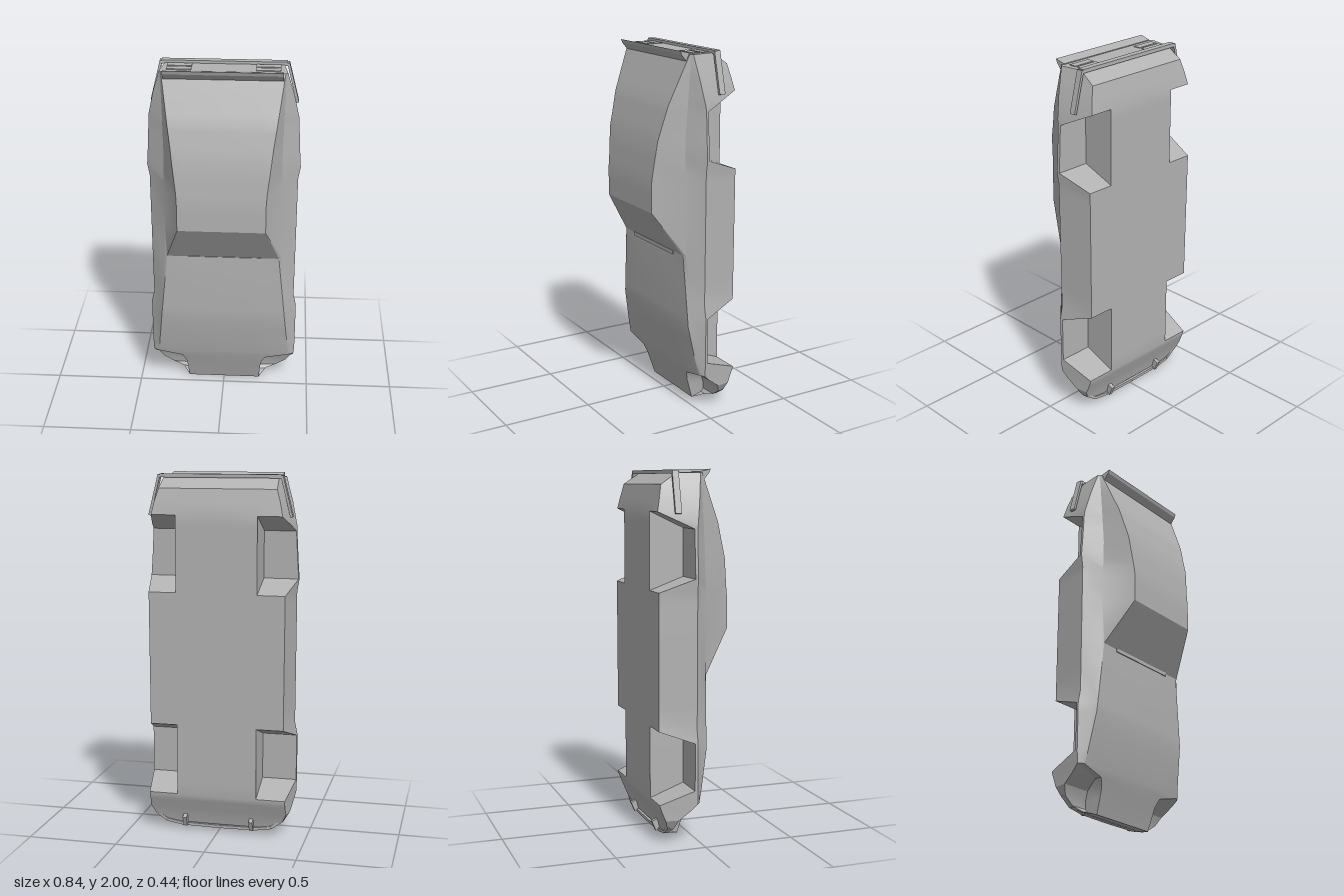
import * as THREE from 'three';
import { toCreasedNormals } from 'three/addons/utils/BufferGeometryUtils.js';

// Linear interpolation through [y, value] pairs
function track(...pairs) {
  return (y) => {
    if (y <= pairs[0][0]) return pairs[0][1];
    for (let i = 1; i < pairs.length; i++) {
      const [y0, a] = pairs[i - 1], [y1, b] = pairs[i];
      if (y <= y1) return a + ((b - a) * (y - y0)) / (y1 - y0);
    }
    return pairs[pairs.length - 1][1];
  };
}

// Car stands on its nose: y runs nose to tail, z runs floor to roof
const floorZ = track([0, -0.065], [0.02, -0.14], [0.04, -0.16], [0.1, -0.175], [0.21, -0.22],
  [1.78, -0.22], [1.92, -0.19], [1.98, -0.1]);
const archZ = track([0.22, -0.22], [0.29, -0.03], [0.55, -0.03], [0.62, -0.22],
  [1.36, -0.22], [1.43, -0.03], [1.69, -0.03], [1.78, -0.22]);
const beltX = track([0, 0.21], [0.02, 0.25], [0.04, 0.31], [0.08, 0.37], [0.13, 0.4], [0.215, 0.417],
  [0.29, 0.42], [0.55, 0.42], [0.62, 0.405], [1.36, 0.408], [1.43, 0.42], [1.53, 0.413],
  [1.72, 0.403], [1.85, 0.375], [1.98, 0.337]);
const beltZ = track([0, -0.062], [0.02, -0.125], [0.04, -0.14], [0.08, -0.135], [0.13, -0.115],
  [0.18, -0.05], [0.215, -0.015], [1.69, -0.015], [1.98, 0.025]);
const shoulderX = track([0, 0.21], [0.13, 0.23], [0.18, 0.25], [0.215, 0.4], [0.9, 0.33],
  [1.53, 0.32], [1.98, 0.33]);
const shoulderZ = track([0, -0.061], [0.02, -0.12], [0.04, -0.135], [0.08, -0.13], [0.13, -0.11],
  [0.18, -0.04], [0.215, 0], [0.5, 0.035], [0.9, 0.06], [1.53, 0.06], [1.98, 0.033]);
const roofX = track([0, 0.21], [0.13, 0.222], [0.18, 0.245], [0.215, 0.385], [0.9, 0.315],
  [1.14, 0.24], [1.33, 0.24], [1.61, 0.272], [1.98, 0.325]);
const roofZ = track([0, -0.06], [0.2, 0.003], [0.29, 0.022], [0.5, 0.058], [0.9, 0.068],
  [1.14, 0.22], [1.3, 0.22], [1.53, 0.195], [1.72, 0.145], [1.98, 0.04]);
const crown = track([0.08, 0], [0.29, 0.005], [0.75, 0.005], [0.9, 0]);

const stations = [0, 0.02, 0.04, 0.08, 0.13, 0.18, 0.215, 0.22, 0.29, 0.4, 0.5, 0.55, 0.62, 0.75, 0.9,
  1.14, 1.24, 1.3, 1.36, 1.43, 1.53, 1.61, 1.69, 1.72, 1.78, 1.85, 1.92, 1.98];

// One closed cross-section; the inner floor step opens into the wheel arches
function section(y) {
  const f = floorZ(y), a = Math.max(f, archZ(y));
  const bx = beltX(y), bz = beltZ(y);
  const outer = bx - 0.03 * Math.min(1, Math.max(0, (bz - a) / 0.2));
  const inner = Math.min(0.225, outer);
  const top = roofZ(y), rx = roofX(y);
  const half = [[0, f], [inner, f], [inner, a], [outer, a], [bx, bz],
    [shoulderX(y), shoulderZ(y)], [rx, top], [Math.min(0.205, rx - 0.005), top + crown(y)], [0, top + crown(y)]];
  const mirrored = half.slice(1, -1).reverse().map(([x, z]) => [-x, z]);
  return [...half, ...mirrored].map(([x, z]) => new THREE.Vector3(x, y, z));
}

function bodyGeometry() {
  const rings = stations.map(section);
  const n = rings[0].length, pos = [];
  const tri = (a, b, c) => {
    const area = b.clone().sub(a).cross(c.clone().sub(a)).length();
    if (area > 1e-8) for (const p of [a, b, c]) pos.push(p.x, p.y, p.z);
  };
  for (let i = 0; i < rings.length - 1; i++) {
    for (let j = 0; j < n; j++) {
      const k = (j + 1) % n;
      tri(rings[i][j], rings[i + 1][j], rings[i + 1][k]);
      tri(rings[i][j], rings[i + 1][k], rings[i][k]);
    }
  }
  const nose = rings[0], tail = rings[rings.length - 1];
  for (let j = 1; j < n - 1; j++) {
    tri(nose[0], nose[j], nose[j + 1]);
    tri(tail[0], tail[j + 1], tail[j]);
  }
  const g = new THREE.BufferGeometry();
  g.setAttribute('position', new THREE.Float32BufferAttribute(pos, 3));
  return toCreasedNormals(g, 0.4);
}

export function createModel() {
  const group = new THREE.Group();
  const paint = new THREE.MeshStandardMaterial({ color: 0xb2b2b2 });
  paint.name = 'grey paint';

  const add = (name, geometry) => {
    const mesh = new THREE.Mesh(geometry, paint);
    mesh.name = name;
    group.add(mesh);
    return mesh;
  };
  const box = (name, w, h, d, x, y, z) => {
    const mesh = add(name, new THREE.BoxGeometry(w, h, d));
    mesh.position.set(x, y, z);
    return mesh;
  };
  // Straight bar between two points in the x-y plane
  const bar = (name, [x0, y0], [x1, y1], z, thick, depth) => {
    const length = Math.hypot(x1 - x0, y1 - y0);
    const mesh = box(name, length, thick, depth, (x0 + x1) / 2, (y0 + y1) / 2, z);
    mesh.rotation.z = Math.atan2(y1 - y0, x1 - x0);
  };

  add('body', bodyGeometry());

  // Cowl strip below the windscreen
  box('cowlStrip', 0.43, 0.02, 0.012, 0, 0.893, 0.068);

  // Tail spoiler, profile drawn in z and y
  const profile = new THREE.Shape([[0.03, 1.985], [0.045, 1.935], [0.083, 1.98], [0.09, 2]]
    .map(([z, y]) => new THREE.Vector2(-z, y)));
  const spoiler = new THREE.ExtrudeGeometry(profile, { depth: 0.63, bevelEnabled: false });
  spoiler.translate(0, 0, -0.315).rotateY(Math.PI / 2);
  add('spoiler', spoiler);

  // Rear bumper across the tail and around both sides
  box('rearBumper', 0.67, 0.02, 0.035, 0, 1.985, -0.117);

  // Front bumper follows the curved nose
  const nose = [[0, 0.025], [0.21, 0.028], [0.3, 0.043], [0.365, 0.09]];

  for (const s of [1, -1]) {
    bar('rearBumperSide', [s * 0.393, 1.77], [s * 0.338, 1.99], -0.117, 0.014, 0.035);
    for (let i = 0; i < nose.length - 1; i++) {
      const [a, b] = [nose[i], nose[i + 1]].map(([x, y]) => [s * x, y]);
      bar('frontBumper', a, b, -0.155, 0.016, 0.028);
    }
    const guard = box('bumperGuard', 0.022, 0.06, 0.035, s * 0.19, 0.055, -0.175);
    guard.rotation.x = -0.4;
    // Two stacked tail lamps on each side
    box('tailLampLower', 0.13, 0.006, 0.042, s * 0.235, 1.981, -0.07);
    box('tailLampUpper', 0.13, 0.006, 0.042, s * 0.235, 1.981, -0.016);
  }
  return group;
}
